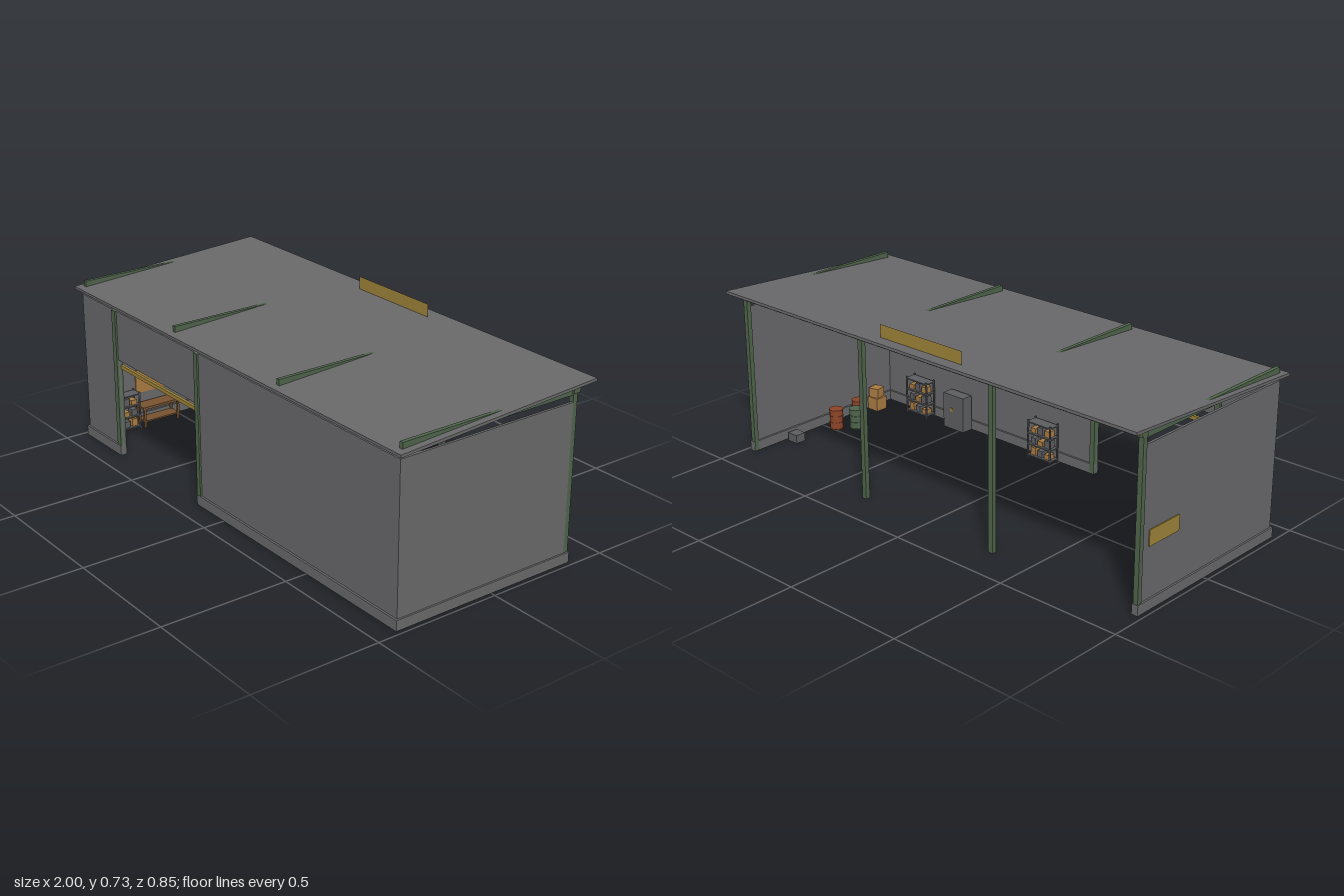
import * as THREE from 'three';

const mat = (name, color, extra = {}) => {
  const m = new THREE.MeshStandardMaterial({ color, ...extra });
  m.name = name;
  return m;
};

export function createModel() {
  const model = new THREE.Group();
  model.name = 'openBackShed';
  const grey = mat('wallGrey', 0x68686a);
  const green = mat('frameGreen', 0x4e634b);
  const yellow = mat('safetyYellow', 0x9c8238);
  const yellowSheet = yellow;
  yellowSheet.side = THREE.DoubleSide;
  const steel = mat('shelfSteel', 0x5c5d60);
  const rust = mat('rustRed', 0x8c4428);
  const wood = mat('benchWood', 0x765230);
  const card = mat('cardboardTan', 0xa87a42);
  const cone = mat('coneOrange', 0xb4562c);

  const add = (parent, name, geometry, material, x, y, z) => {
    const m = new THREE.Mesh(geometry, material);
    m.name = name;
    m.position.set(x, y, z);
    parent.add(m);
    return m;
  };
  // Box given by its limits on each axis
  const span = (parent, name, material, x0, x1, y0, y1, z0, z1) =>
    add(parent, name, new THREE.BoxGeometry(x1 - x0, y1 - y0, z1 - z0), material,
      (x0 + x1) / 2, (y0 + y1) / 2, (z0 + z1) / 2);
  const group = (name, x, z, turn = 0) => {
    const g = new THREE.Group();
    g.name = name;
    g.position.set(x, 0, z);
    g.rotation.y = turn;
    model.add(g);
    return g;
  };

  // Front wall with a doorway
  const doorL = -0.72, doorR = -0.175;
  span(model, 'frontWallRightPart', grey, -0.975, doorL, 0, 0.605, 0.395, 0.405);
  span(model, 'frontWallLeftPart', grey, doorR, 0.975, 0, 0.605, 0.395, 0.405);
  span(model, 'doorHeader', grey, doorL, doorR, 0.405, 0.605, 0.395, 0.405);
  span(model, 'frontPlinthRight', grey, -0.982, doorL, 0, 0.04, 0.387, 0.413);
  span(model, 'frontPlinthLeft', grey, doorR, 0.982, 0, 0.04, 0.387, 0.413);
  span(model, 'doorPostRight', green, -0.745, doorL, 0, 0.605, 0.387, 0.412);
  span(model, 'doorPostLeft', green, doorR, -0.153, 0, 0.605, 0.387, 0.412);
  span(model, 'doorBar', yellow, doorL, doorR, 0.365, 0.38, 0.383, 0.395);

  // Side walls and plinths
  for (const s of [-1, 1]) {
    add(model, 'sideWall', new THREE.BoxGeometry(0.01, 0.605, 0.738), grey, s * 0.97, 0.3025, 0.026);
    add(model, 'sidePlinth', new THREE.BoxGeometry(0.026, 0.04, 0.75), grey, s * 0.969, 0.02, 0.012);
  }

  // Back posts, rafters and back beam
  [-0.97, -0.325, 0.32, 0.965].forEach((x) => {
    span(model, 'backPost', green, x - 0.01, x + 0.01, 0, 0.66, -0.362, -0.343);
    span(model, 'rafter', green, x - 0.0075, x + 0.0075, 0.63, 0.658, -0.345, 0.395);
  });
  span(model, 'backBeam', green, -0.98, 0.98, 0.637, 0.664, -0.368, -0.34);
  span(model, 'beamStripe', yellow, -0.98, 0.98, 0.645, 0.659, -0.371, -0.368);

  // Sloping roof
  const roof = add(model, 'roof', new THREE.BoxGeometry(2, 0.011, 0.851), grey, 0, 0.6515, 0);
  roof.rotation.x = Math.atan(0.047 / 0.85);

  // Sign plates on the roof and side wall
  add(model, 'roofSign', new THREE.PlaneGeometry(0.4, 0.06), yellowSheet, 0, 0.697, -0.37);
  span(model, 'wallPlate', yellow, -0.979, -0.975, 0.235, 0.295, -0.31, -0.15);

  // Shelf racks stocked with boxes
  const rack = (x, z, turn) => {
    const g = group('shelfRack', x, z, turn);
    for (const sx of [-1, 1]) for (const sz of [-1, 1]) {
      add(g, 'rackUpright', new THREE.BoxGeometry(0.006, 0.165, 0.006), steel, sx * 0.057, 0.0825, sz * 0.022);
    }
    for (let i = 0; i < 4; i++) {
      const y = 0.015 + i * 0.047;
      add(g, 'rackShelf', new THREE.BoxGeometry(0.12, 0.005, 0.05), steel, 0, y, 0);
      if (i === 3) continue;
      for (let j = 0; j < 3; j++) {
        const h = 0.02 + 0.006 * ((i * 2 + j) % 3);
        add(g, 'rackBox', new THREE.BoxGeometry(0.025, h, 0.032), (i + j) % 2 ? steel : card,
          (j - 1) * 0.035, y + 0.0025 + h / 2, 0);
      }
    }
  };
  rack(0.74, 0.355, 0);
  rack(0.06, 0.355, 0);
  rack(-0.92, 0.27, Math.PI / 2);

  // Steel cabinet with a warning mark
  const cab = group('cabinet', 0.53, 0.36);
  add(cab, 'cabinetBody', new THREE.BoxGeometry(0.11, 0.15, 0.05), steel, 0, 0.075, 0);
  add(cab, 'cabinetMark', new THREE.BoxGeometry(0.014, 0.014, 0.003), yellow, 0.01, 0.085, -0.026);

  // Drums
  [[0.895, 0.02, rust], [0.838, 0.078, green], [0.9, 0.15, rust]].forEach(([x, z, m]) => {
    const g = group('drum', x, z);
    add(g, 'drumBody', new THREE.CylinderGeometry(0.027, 0.027, 0.086, 16), m, 0, 0.043, 0);
    for (const y of [0.003, 0.03, 0.057, 0.084]) {
      add(g, 'drumRib', new THREE.CylinderGeometry(0.029, 0.029, 0.004, 16), m, 0, y, 0);
    }
  });

  // Stacked cartons and a small crate
  const stack = group('cartons', 0.925, 0.28);
  add(stack, 'lowerCarton', new THREE.BoxGeometry(0.055, 0.055, 0.055), card, 0, 0.0275, 0);
  add(stack, 'upperCarton', new THREE.BoxGeometry(0.045, 0.04, 0.045), card, 0.003, 0.075, 0).rotation.y = 0.2;
  span(model, 'crate', steel, 0.892, 0.942, 0, 0.035, -0.2, -0.155);

  // Workbench with a tool board behind it
  const bench = group('workbench', -0.925, 0.11, Math.PI / 2);
  add(bench, 'benchTop', new THREE.BoxGeometry(0.18, 0.01, 0.065), wood, 0, 0.085, 0);
  add(bench, 'benchShelf', new THREE.BoxGeometry(0.165, 0.006, 0.055), wood, 0, 0.025, 0);
  for (const sx of [-1, 1]) for (const sz of [-1, 1]) {
    add(bench, 'benchLeg', new THREE.BoxGeometry(0.009, 0.08, 0.009), wood, sx * 0.08, 0.04, sz * 0.026);
  }
  span(model, 'toolBoard', card, -0.965, -0.96, 0.13, 0.23, 0.03, 0.19);

  // Traffic cones
  for (const z of [-0.1, -0.18]) {
    const g = group('trafficCone', -0.875, z);
    add(g, 'coneBase', new THREE.BoxGeometry(0.045, 0.006, 0.045), cone, 0, 0.003, 0);
    add(g, 'coneBody', new THREE.CylinderGeometry(0.004, 0.017, 0.076, 12), cone, 0, 0.044, 0);
  }
  return model;
}
